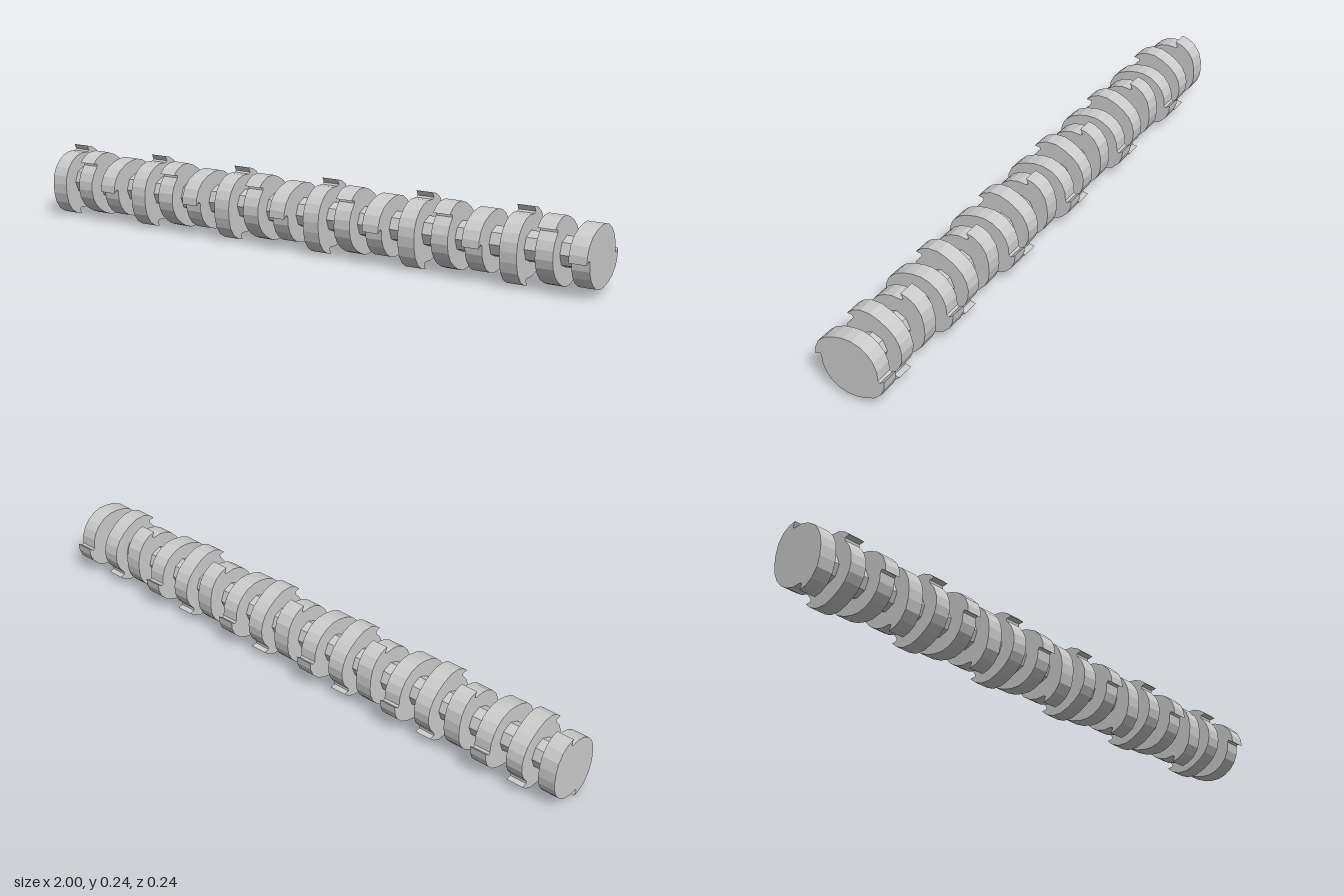
import * as THREE from 'three';

const COUNT = 18, WIDTH = 0.057, AXIS_Y = 0.119;
const HOOK_ANGLES = [80.5, 136, 180]; // repeating twist of the cutters, degrees

// Half of a cutter outline: [degrees clockwise from hook tip, radius]
const PROFILE = [
  [3, 0.098], [6, 0.1045], [0, 0.1195], [12, 0.12], [26, 0.118], [43, 0.1115], [61, 0.103],
  [80, 0.099], [97, 0.099], [114, 0.099], [131, 0.099], [148, 0.099], [165, 0.0985],
];

// Two-hooked cutter disc, extruded along the shaft
function cutterGeometry(tipAngle) {
  const points = [];
  for (const half of [0, 180]) {
    for (const [delta, r] of PROFILE) {
      const a = THREE.MathUtils.degToRad(tipAngle - half - delta);
      points.push(new THREE.Vector2(r * Math.cos(a), r * Math.sin(a)));
    }
  }
  const geometry = new THREE.ExtrudeGeometry(new THREE.Shape(points), { depth: WIDTH, bevelEnabled: false });
  geometry.translate(0, 0, -WIDTH / 2);
  geometry.rotateY(Math.PI / 2);
  return geometry;
}

export function createModel() {
  const group = new THREE.Group();
  group.name = 'shredderShaft';
  const material = new THREE.MeshStandardMaterial({ color: 0xcccccc, flatShading: true });

  // Octagonal shaft, stopping just short of the last cutter
  const start = -0.99, end = 0.928;
  const shaftGeometry = new THREE.CylinderGeometry(0.049, 0.049, end - start, 8);
  shaftGeometry.rotateZ(Math.PI / 2);
  const shaft = new THREE.Mesh(shaftGeometry, material);
  shaft.name = 'shaft';
  shaft.position.set((start + end) / 2, AXIS_Y, 0);
  group.add(shaft);

  // Row of cutters, each turned relative to the one before
  const cutters = HOOK_ANGLES.map(cutterGeometry);
  const first = -1 + WIDTH / 2;
  for (let i = 0; i < COUNT; i++) {
    const disc = new THREE.Mesh(cutters[i % 3], material);
    disc.name = `cutterDisc${i + 1}`;
    disc.position.set(first - (2 * first * i) / (COUNT - 1), AXIS_Y, 0);
    group.add(disc);
  }
  return group;
}
